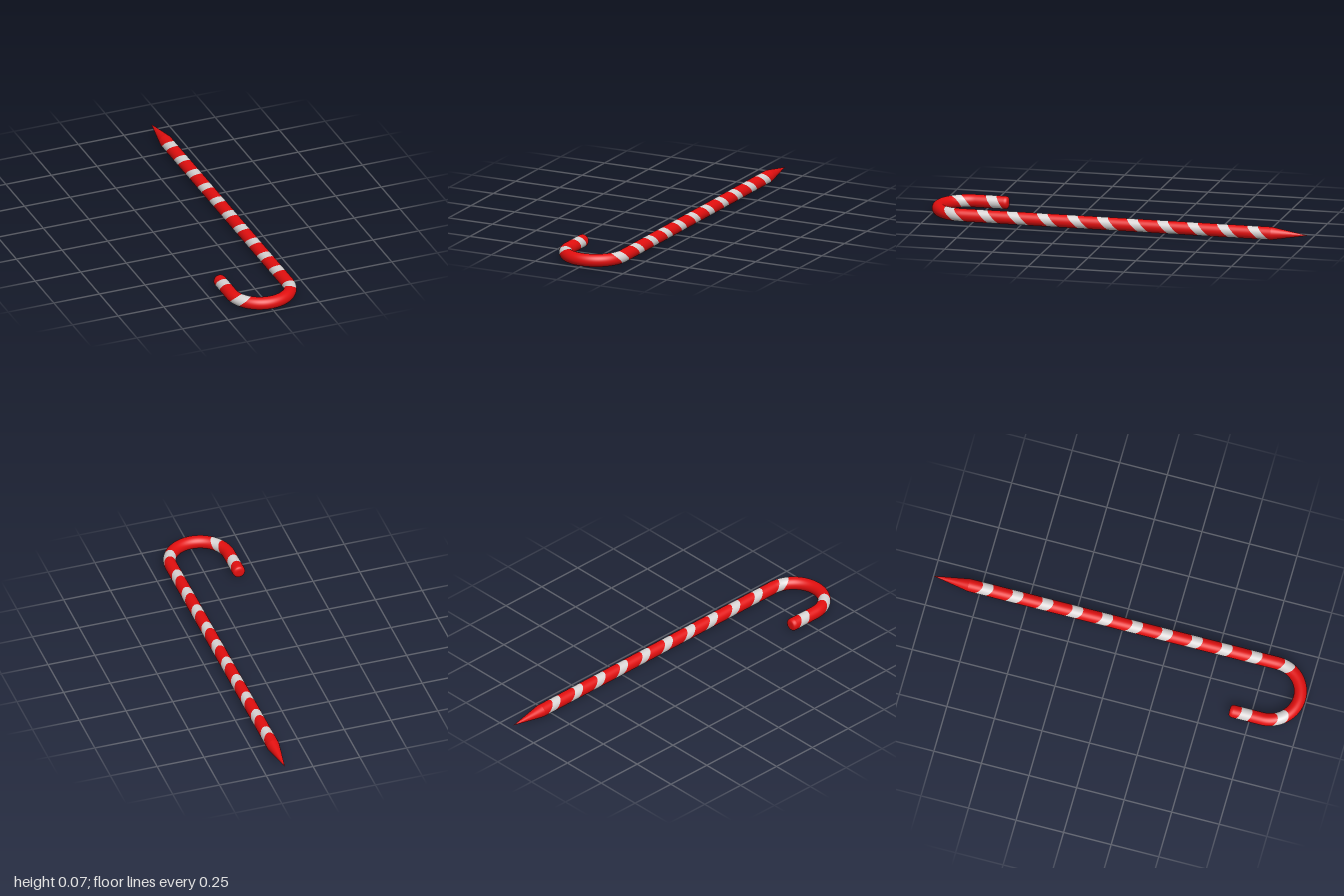
import * as THREE from 'three';

const R = 0.155;            // radius of the bend's centre line
const TUBE = 0.033;         // radius of the cane
const ZC = 0.812;           // z of the bend's centre
const HALF = R * Math.PI / 2;
const SIDES = 32;

// Centre line measured from the front of the bend: + runs to the shaft, - to the hook end
function frameAt(s) {
  const a = THREE.MathUtils.clamp(s, -HALF, HALF) / R;
  const rest = Math.max(0, Math.abs(s) - HALF);
  const out = new THREE.Vector3(Math.sin(a), 0, Math.cos(a));
  const lean = s > 0 ? 0.003 * rest : 0;
  const p = new THREE.Vector3(R * out.x - lean, TUBE, ZC + R * out.z - rest);
  return { p, out };
}

// Piece of cane between two slanted cuts; each cut is { s, k } with k the slant
function piece(from, to) {
  const rings = Math.max(2, Math.ceil((to.s - from.s) / 0.012));
  const pos = [], nor = [], idx = [];
  for (let i = 0; i <= rings; i++) {
    const t = i / rings;
    const s = THREE.MathUtils.lerp(from.s, to.s, t);
    const k = THREE.MathUtils.lerp(from.k, to.k, t);
    for (let j = 0; j <= SIDES; j++) {
      const a = j / SIDES * Math.PI * 2;
      const { p, out } = frameAt(s - k * Math.sin(a));
      const n = out.multiplyScalar(Math.cos(a));
      n.y = Math.sin(a);
      pos.push(p.x + n.x * TUBE, p.y + n.y * TUBE, p.z + n.z * TUBE);
      nor.push(n.x, n.y, n.z);
      if (i < rings && j < SIDES) {
        const q = i * (SIDES + 1) + j, r = q + SIDES + 1;
        idx.push(q, r, q + 1, r, r + 1, q + 1);
      }
    }
  }
  const g = new THREE.BufferGeometry();
  g.setAttribute('position', new THREE.Float32BufferAttribute(pos, 3));
  g.setAttribute('normal', new THREE.Float32BufferAttribute(nor, 3));
  g.setIndex(idx);
  return g;
}

export function createModel() {
  const red = new THREE.MeshStandardMaterial({ color: 0xe30f0f });
  red.name = 'candy red';
  const white = new THREE.MeshStandardMaterial({ color: 0xd8d4d4 });
  white.name = 'sugar white';
  const group = new THREE.Group();
  group.name = 'candyCane';
  const add = (geometry, material, name, x = 0, y = 0, z = 0) => {
    const m = new THREE.Mesh(geometry, material);
    m.name = name;
    m.position.set(x, y, z);
    group.add(m);
  };

  // White bands: hook leg, both sides of the bend, then evenly along the shaft
  const bands = [{ s: -0.343, k: -0.02 }, { s: -0.165, k: -0.03 }, { s: 0.21, k: 0.03 }];
  for (let i = 0; i < 10; i++) bands.push({ s: 0.385 + i * 0.157, k: 0.032 });

  // Alternate red and white from the hook end to the point
  const hookEnd = -0.393, shaftEnd = HALF + ZC + 0.81, w = 0.028;
  let last = { s: hookEnd, k: 0 };
  for (const { s, k } of bands) {
    const a = { s: s - w, k }, b = { s: s + w, k };
    add(piece(last, a), red, 'redBand');
    add(piece(a, b), white, 'whiteBand');
    last = b;
  }
  add(piece(last, { s: shaftEnd, k: 0 }), red, 'redBand');

  // Rounded hook end
  const profile = [[1, 0], [0.97, 0.009], [0.88, 0.015], [0.7, 0.019], [0.4, 0.02], [0, 0.02]]
    .map(([r, y]) => new THREE.Vector2(r * TUBE, y));
  const cap = new THREE.LatheGeometry(profile, SIDES).rotateX(-Math.PI / 2);
  const h = frameAt(hookEnd).p;
  add(cap, red, 'hookEndCap', h.x, h.y, h.z);

  // Sharpened point of the shaft
  const len = 0.19;
  const cone = new THREE.ConeGeometry(TUBE, len, SIDES, 1, true).rotateX(-Math.PI / 2);
  const e = frameAt(shaftEnd).p;
  add(cone, red, 'sharpPoint', e.x, e.y, e.z - len / 2);

  return group;
}
